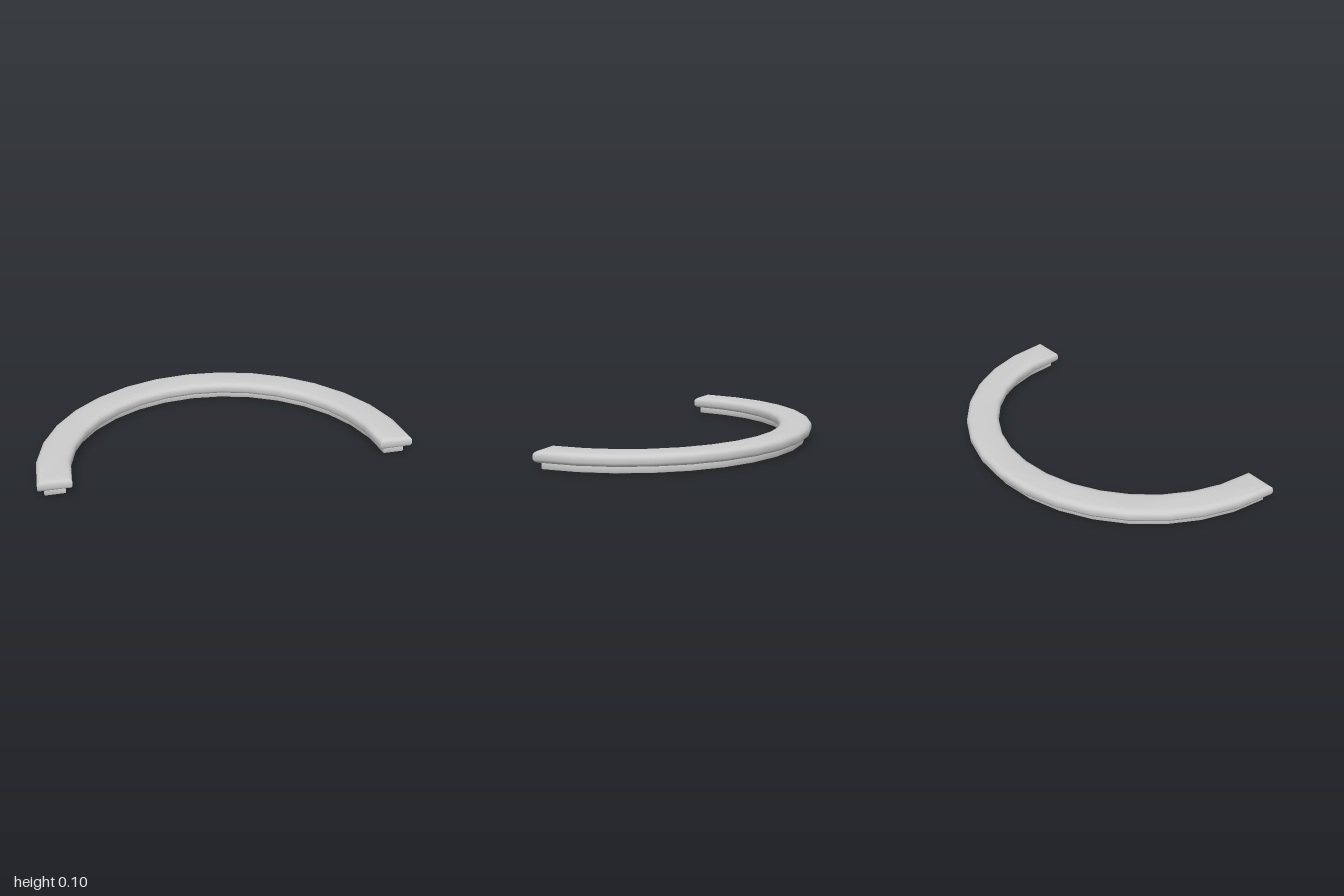
import * as THREE from 'three';
import { mergeVertices, toCreasedNormals } from 'three/addons/utils/BufferGeometryUtils.js';

const CENTER_Z = 0.482;
const WORK_SCALE = 100; // built large so nearby bevel vertices stay distinct when smoothing

// Half ring lying flat between y0 and y1, with rounded edges all the way round
function halfRing(name, inner, outer, y0, y1, bevelSize, bevelThickness, bevelSegments, material) {
  const s = WORK_SCALE;
  const shape = new THREE.Shape();
  shape.absarc(0, 0, (outer - bevelSize) * s, 0, Math.PI, false);
  shape.absarc(0, 0, (inner + bevelSize) * s, Math.PI, 0, true);
  shape.closePath();

  let geometry = new THREE.ExtrudeGeometry(shape, {
    depth: (y1 - y0 - 2 * bevelThickness) * s,
    curveSegments: 8,
    bevelEnabled: true,
    bevelSize: bevelSize * s,
    bevelThickness: bevelThickness * s,
    bevelSegments,
  });
  geometry.deleteAttribute('normal');
  geometry.deleteAttribute('uv');
  geometry = toCreasedNormals(mergeVertices(geometry), 0.75);
  geometry.rotateX(-Math.PI / 2);
  geometry.scale(1 / s, 1 / s, 1 / s);
  geometry.translate(0, y0 + bevelThickness, CENTER_Z);

  const mesh = new THREE.Mesh(geometry, material);
  mesh.name = name;
  return mesh;
}

export function createModel() {
  const group = new THREE.Group();
  group.name = 'halfRingMoulding';
  const material = new THREE.MeshStandardMaterial({ color: 0xcccccc });

  // Wide rounded band on top, narrower plinth band underneath
  group.add(halfRing('upperBand', 0.82, 1, 0.035, 0.101, 0.036, 0.022, 3, material));
  group.add(halfRing('lowerBand', 0.855, 0.965, 0, 0.042, 0.007, 0.006, 2, material));
  return group;
}
